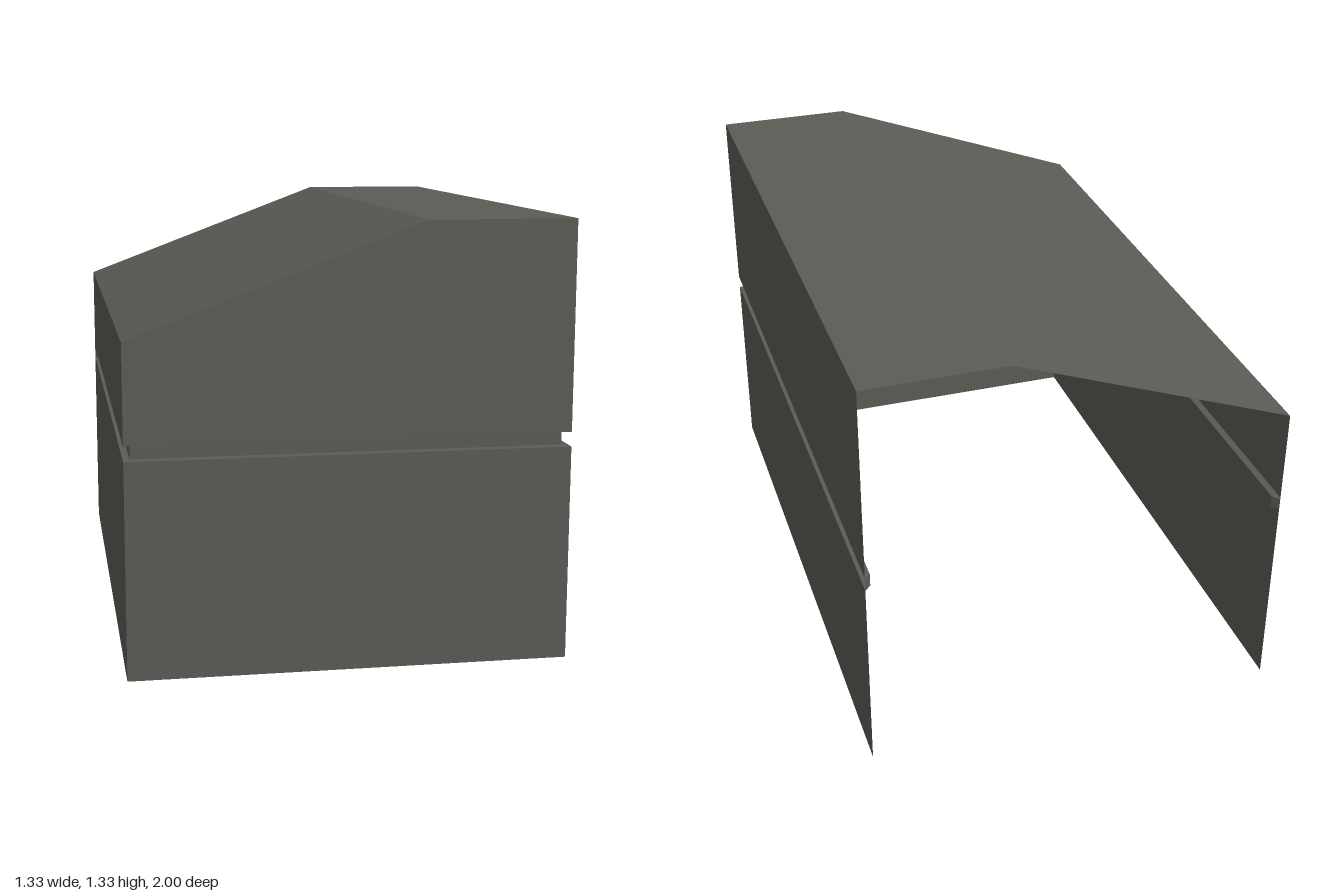
import * as THREE from 'three';

const W = 0.665, D = 1;                     // half width, half depth
const LOW = 0.655, HIGH = 0.7, HIGH_IN = 0.696; // groove heights
const EAVE = 1, TOP = 1.333, RIDGE_X = 0.22;

// Plan outlines, running right back > right front > left front > left back
const outer = [[-W, -D], [-W, -0.98], [-W, D], [W, D], [W, -0.98], [W, -D]];
const inner = [[-W, -D], [-0.645, -0.98], [-0.645, 0.965], [0.645, 0.965], [0.645, -0.98], [W, -D]];

const ring = (plan, y) => plan.map(([x, z]) => [x, y, z]);

// Flat-faced band between two rows of points
function strip(a, b) {
  const pos = [];
  for (let i = 0; i < a.length - 1; i++) {
    pos.push(...a[i], ...a[i + 1], ...b[i + 1], ...a[i], ...b[i + 1], ...b[i]);
  }
  const geo = new THREE.BufferGeometry();
  geo.setAttribute('position', new THREE.Float32BufferAttribute(pos, 3));
  geo.computeVertexNormals();
  return geo;
}

export function createModel() {
  const group = new THREE.Group();
  const shell = new THREE.MeshStandardMaterial({ color: 0x5c5c56, side: THREE.DoubleSide });
  shell.name = 'warm dark grey';

  const add = (name, geo) => {
    const mesh = new THREE.Mesh(geo, shell);
    mesh.name = name;
    group.add(mesh);
    return mesh;
  };

  // Lower walls, open at the back and bottom
  add('lowerWalls', strip(ring(outer, 0), ring(outer, LOW)));

  // Recessed groove around three sides
  add('grooveLedge', strip(ring(outer, LOW), ring(inner, LOW)));
  add('grooveWall', strip(ring(inner, LOW), ring(inner, HIGH_IN)));
  add('grooveCeiling', strip(ring(inner, HIGH_IN), ring(outer, HIGH)));

  // Upper side walls, unequal in height
  add('upperRightWall', strip([[-W, HIGH, -D], [-W, HIGH, D]], [[-W, EAVE, -D], [-W, EAVE, D]]));
  add('upperLeftWall', strip([[W, HIGH, D], [W, HIGH, -D]], [[W, TOP, D], [W, TOP, -D]]));

  // Front wall with the sloping top edge
  const gable = new THREE.Shape([[-W, HIGH], [W, HIGH], [W, TOP], [RIDGE_X, TOP], [-W, EAVE]]
    .map(([x, y]) => new THREE.Vector2(x, y)));
  add('upperFrontWall', new THREE.ShapeGeometry(gable)).position.z = D;

  // Roof: a slope and a flat part
  const roof = [[-W, EAVE], [RIDGE_X, TOP], [W, TOP]];
  add('roof', strip(roof.map(([x, y]) => [x, y, D]), roof.map(([x, y]) => [x, y, -D])));

  return group;
}
